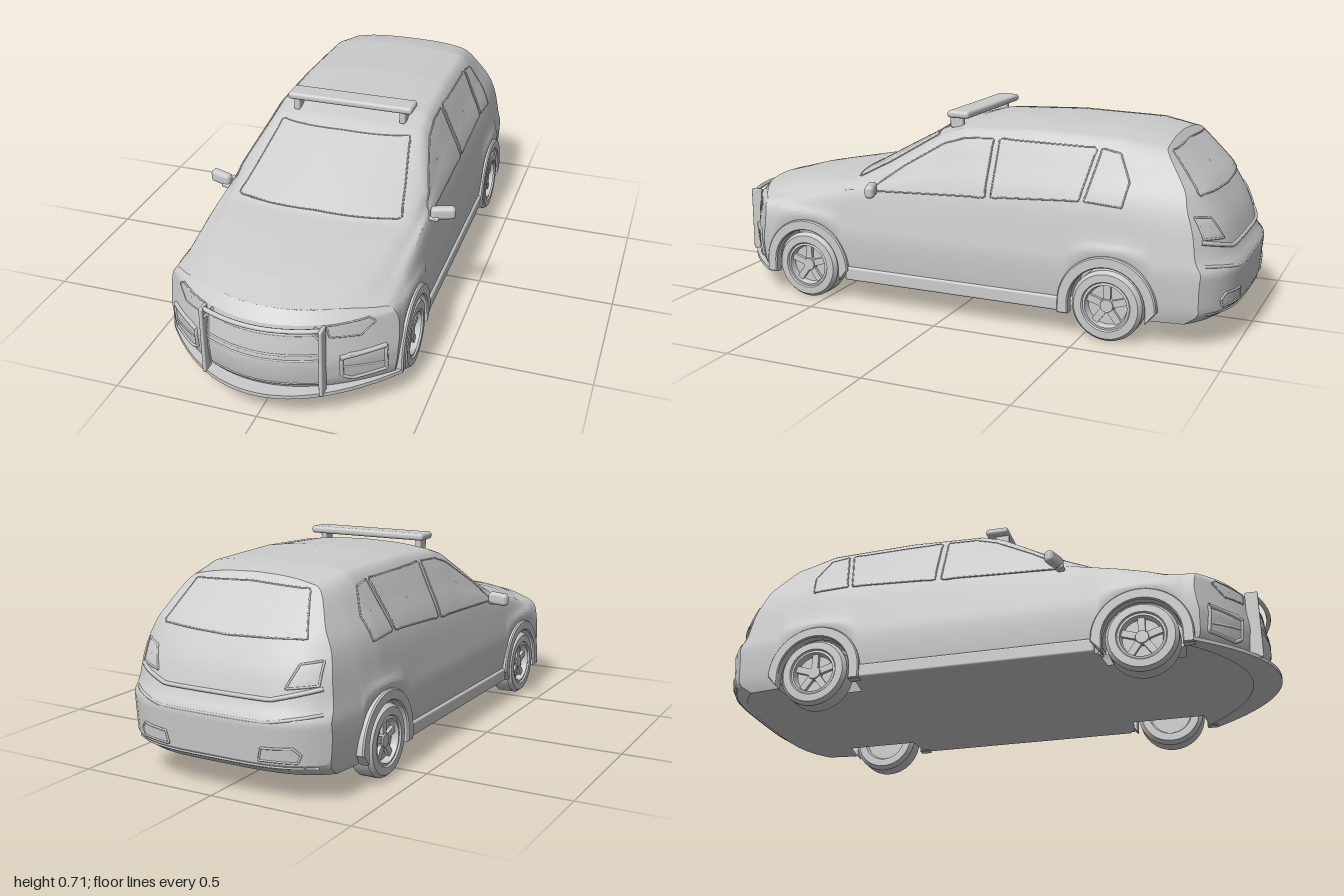
import * as THREE from 'three';
import { toCreasedNormals } from 'three/addons/utils/BufferGeometryUtils.js';
import { RoundedBoxGeometry } from 'three/addons/geometries/RoundedBoxGeometry.js';

const V = (x, y, z) => new THREE.Vector3(x, y, z);
const FLOOR = 0.085, AXLES = [0.57, -0.59], AXLE_Y = 0.123;

// Piecewise linear lookup: rows of [key, ...values], keys ascending
function look(rows, k) {
  let i = 0;
  while (i < rows.length - 2 && k > rows[i + 1][0]) i++;
  const [a, b] = [rows[i], rows[i + 1]];
  const t = THREE.MathUtils.clamp((k - a[0]) / (b[0] - a[0]), 0, 1);
  return a.map((v, n) => v + (b[n] - v) * t);
}

// Stations: z, front bow, rear bow, lower width, belt x, belt y, rail x, rail y, top y
const STATIONS = [
  [-1.0, 0, 1, 0.94, 0.345, 0.45, 0.25, 0.625, 0.663],
  [-0.8, 0, 0.5, 0.985, 0.36, 0.455, 0.262, 0.638, 0.675],
  [-0.6, 0, 0, 1, 0.37, 0.455, 0.27, 0.65, 0.683],
  [-0.285, 0, 0, 1, 0.37, 0.45, 0.275, 0.657, 0.69],
  [0, 0.1, 0, 1, 0.37, 0.445, 0.28, 0.645, 0.677],
  [0.115, 0.3, 0, 1, 0.37, 0.44, 0.285, 0.62, 0.652],
  [0.33, 0.4, 0, 1, 0.372, 0.43, 0.335, 0.5, 0.54],
  [0.49, 0.4, 0, 1, 0.375, 0.41, 0.315, 0.44, 0.452],
  [0.62, 0.5, 0, 1, 0.375, 0.39, 0.30, 0.425, 0.437],
  [0.76, 0.7, 0, 1, 0.372, 0.37, 0.29, 0.40, 0.416],
  [0.85, 0.9, 0, 1, 0.37, 0.355, 0.28, 0.388, 0.401],
  [0.97, 1, 0, 1, 0.37, 0.345, 0.27, 0.361, 0.369],
];
// Nose and tail side profiles: height, set-back
const NOSE = [[0.085, -0.03], [0.12, -0.01], [0.2, 0], [0.33, -0.02], [0.37, -0.06]];
const TAIL = [[0.085, 0.07], [0.12, 0.015], [0.265, 0.003], [0.3, 0.03], [0.4, 0.06], [0.51, 0.125], [0.665, 0.275]];

const bend = (s, x, y) => s[0] + s[1] * (look(NOSE, y)[1] - 1.3 * x * x)
  + s[2] * (look(TAIL, y)[1] + 5 * x ** 4);

function archHeight(z) {
  for (const c of AXLES) {
    const d = Math.abs(z - c);
    if (d < 0.14) return AXLE_Y + Math.sqrt(0.0196 - d * d);
  }
  return FLOOR;
}

// Half cross-section from sill to centre line, bent and lifted over the wheels
function halfSection(z) {
  const s = look(STATIONS, z), [, , , w, bx, by, rx, ry, top] = s;
  const pts = [[0.385 * w, FLOOR], [0.395 * w, 0.15], [0.4 * w, 0.24], [0.393 * w, 0.31], [bx, by],
    [(bx + rx) / 2 + 0.004, (by + ry) / 2], [rx, ry], [rx * 0.8, ry + (top - ry) * 0.55],
    [rx * 0.45, ry + (top - ry) * 0.88], [0, top]];
  return new THREE.SplineCurve(pts.map(p => new THREE.Vector2(...p))).getPoints(36).map(p => {
    const pz = bend(s, p.x, p.y), lo = archHeight(pz);
    const y = p.y < 0.34 ? lo + (p.y - FLOOR) * (0.34 - lo) / (0.34 - FLOOR) : p.y;
    return V(p.x, y, pz);
  });
}

// Surface through a grid of points, facing rows x columns
function gridGeometry(rows) {
  const n = rows[0].length, index = [];
  for (let i = 0; i < rows.length - 1; i++) for (let j = 0; j < n - 1; j++) {
    const a = i * n + j, c = a + n;
    index.push(a, c, a + 1, a + 1, c, c + 1);
  }
  const g = new THREE.BufferGeometry().setFromPoints(rows.flat());
  g.setIndex(index);
  return toCreasedNormals(g, 0.45);
}

export function createModel() {
  const car = new THREE.Group();
  car.name = 'car';
  const material = new THREE.MeshStandardMaterial({ color: 0xcccccc, side: THREE.DoubleSide });
  const add = (name, geometry, pos = [0, 0, 0], parent = car) => {
    const m = new THREE.Mesh(geometry, material);
    m.name = name;
    m.position.set(...pos);
    parent.add(m);
    return m;
  };
  const mirror = p => V(-p.x, p.y, p.z);

  // Body shell with closed nose and tail
  const halves = Array.from({ length: 131 }, (_, i) => halfSection(-1 + 1.97 * i / 130));
  const shell = halves.map(h => [...h.map(mirror), ...h.slice(0, -1).reverse()]);
  const across = Array.from({ length: 25 }, (_, i) => -1 + i / 12);
  const capPoint = (z, p, t) => V(p.x * t, p.y, bend(look(STATIONS, z), p.x * t, p.y));
  const nose = across.map(t => halves.at(-1).map(p => capPoint(0.97, p, t)));
  const tail = halves[0].map(p => across.map(t => capPoint(-1, p, t)));
  const solids = [add('bodyShell', gridGeometry(shell)), add('nose', gridGeometry(nose)),
    add('tail', gridGeometry(tail))];

  // Flat underside notched around the wheels
  const sill = halves.map(h => V(h[0].y > FLOOR + 0.01 ? 0.28 : h[0].x, FLOOR, h[0].z));
  const outline = [...sill, ...nose.map(c => c[0]).reverse().slice(1, -1),
    ...sill.map(mirror).reverse(), ...tail[0].slice(1, -1)];
  const floor = new THREE.ShapeGeometry(new THREE.Shape(outline.map(p => new THREE.Vector2(p.x, p.z))));
  add('underside', floor.rotateX(Math.PI / 2), [0, FLOOR, 0]);

  // Project a 2D point onto the body from the front, rear, left or right
  const ray = new THREE.Raycaster();
  const VIEWS = { front: V(0, 0, 1), rear: V(0, 0, -1), left: V(1, 0, 0), right: V(-1, 0, 0) };
  function project([a, b], view, lift) {
    const n = VIEWS[view], o = n.x ? V(n.x * 2, b, a) : V(a, b, n.z * 2);
    ray.set(o, n.clone().negate());
    const hit = ray.intersectObjects(solids)[0];
    return hit && hit.point.addScaledVector(n, lift);
  }
  function densify(pts, closed, steps = 8) {
    const out = [];
    for (let i = 0; i < pts.length - (closed ? 0 : 1); i++) {
      const a = pts[i], b = pts[(i + 1) % pts.length];
      for (let k = 0; k < steps; k++) out.push([0, 1].map(n => a[n] + (b[n] - a[n]) * k / steps));
    }
    if (!closed) out.push(pts.at(-1));
    return out;
  }
  // Raised strip following the body
  function trim(name, pts, view, r, closed = false, lift = 0) {
    const path = densify(pts, closed).map(p => project(p, view, lift)).filter(Boolean);
    add(name, new THREE.TubeGeometry(new THREE.CatmullRomCurve3(path, closed), path.length * 2, r, 6, closed));
  }
  // Panel lying on the body, with a rim
  function panel(name, pts, view, r = 0.003, lift = 0.003) {
    const edge = densify(pts, true), c = [0, 1].map(n => pts.reduce((s, p) => s + p[n], 0) / pts.length);
    const rows = [0.02, 0.25, 0.5, 0.75, 1].map(t => [...edge, edge[0]].map(p =>
      project([c[0] + (p[0] - c[0]) * t, c[1] + (p[1] - c[1]) * t], view, lift)));
    if (rows.flat().every(Boolean)) add(name, gridGeometry(rows));
    trim(name + 'Rim', pts, view, r, true, lift * 0.5);
  }

  // Windows
  const WINDOWS = {
    frontDoorWindow: [[0.31, 0.425], [-0.135, 0.445], [-0.135, 0.635], [-0.03, 0.63], [0.05, 0.605], [0.19, 0.52], [0.28, 0.455]],
    rearDoorWindow: [[-0.16, 0.447], [-0.475, 0.465], [-0.51, 0.632], [-0.16, 0.636]],
    quarterWindow: [[-0.495, 0.465], [-0.625, 0.457], [-0.638, 0.535], [-0.595, 0.62], [-0.53, 0.632]],
  };
  for (const side of ['left', 'right'])
    for (const [name, pts] of Object.entries(WINDOWS)) panel(name, pts, side);
  panel('windshield', [[-0.295, 0.455], [0, 0.463], [0.295, 0.455], [0.24, 0.622], [0, 0.628], [-0.24, 0.622]], 'front');
  panel('rearWindow', [[-0.27, 0.5], [0, 0.49], [0.27, 0.5], [0.215, 0.63], [0, 0.638], [-0.215, 0.63]], 'rear');

  // Tail and bumper details
  trim('tailgateLedge', [[-0.34, 0.36], [-0.2, 0.325], [0.2, 0.325], [0.34, 0.36]], 'rear', 0.008);
  trim('bumperLedge', [[-0.35, 0.285], [-0.2, 0.262], [0.2, 0.262], [0.35, 0.285]], 'rear', 0.006, false, -0.004);
  trim('lowerBumperLedge', [[-0.34, 0.12], [0.34, 0.12]], 'rear', 0.005);

  for (const s of [1, -1]) {
    const flip = pts => pts.map(([x, y]) => [x * s, y]);
    panel('tailLight', flip([[0.24, 0.36], [0.33, 0.37], [0.33, 0.44], [0.27, 0.43]]), 'rear', 0.004);
    panel('exhaustTrim', flip([[0.17, 0.14], [0.29, 0.14], [0.3, 0.165], [0.28, 0.185], [0.18, 0.18]]), 'rear', 0.004);
    panel('headlight', flip([[0.205, 0.325], [0.32, 0.333], [0.337, 0.318], [0.3, 0.28], [0.215, 0.287]]), 'front');
    // Fog lamp intake with slats
    panel('fogIntake', flip([[0.25, 0.205], [0.25, 0.14], [0.275, 0.122], [0.368, 0.13], [0.368, 0.218], [0.27, 0.218]]), 'front', 0.007);
    trim('fogSlat', flip([[0.255, 0.175], [0.36, 0.16]]), 'front', 0.005);
    trim('fogBrow', flip([[0.245, 0.21], [0.368, 0.222]]), 'front', 0.009);

    // Sill and door mirror
    add('sill', new RoundedBoxGeometry(0.035, 0.05, 0.84, 2, 0.008), [s * 0.385, 0.11, -0.01]);
    const housing = add('mirrorHousing', new RoundedBoxGeometry(0.088, 0.047, 0.035, 3, 0.015), [s * 0.415, 0.438, 0.285]);
    housing.rotation.y = s * 0.35;
    add('mirrorArm', new RoundedBoxGeometry(0.06, 0.016, 0.028, 2, 0.006), [s * 0.375, 0.42, 0.3]);

    for (const z of AXLES) {
      // Arch flare and liner
      const flare = new THREE.Shape();
      flare.moveTo(0.168, FLOOR - AXLE_Y).absarc(0, 0, 0.168, 0, Math.PI, false);
      flare.lineTo(-0.168, FLOOR - AXLE_Y).lineTo(-0.137, FLOOR - AXLE_Y);
      flare.absarc(0, 0, 0.137, Math.PI, 0, true).lineTo(0.137, FLOOR - AXLE_Y);
      const ring = new THREE.ExtrudeGeometry(flare, { depth: 0.028, bevelSize: 0.004, bevelThickness: 0.005, bevelSegments: 1, curveSegments: 20 });
      add('archFlare', toCreasedNormals(ring, 0.5).rotateY(Math.PI / 2), [s > 0 ? 0.377 : -0.405, AXLE_Y, z]);
      const liner = new THREE.CylinderGeometry(0.14, 0.14, 0.11, 24, 1, true, 0, Math.PI);
      add('archLiner', liner.rotateZ(Math.PI / 2), [s * 0.335, AXLE_Y, z]);
      add('archWall', new THREE.CircleGeometry(0.142, 24, 0, Math.PI).rotateY(Math.PI / 2), [s * 0.28, AXLE_Y, z]);

      // Wheel: tyre, dished rim, spokes and hub
      const wheel = new THREE.Group();
      wheel.name = 'wheel';
      wheel.position.set(s * 0.362, AXLE_Y, z);
      wheel.rotation.y = s > 0 ? 0 : Math.PI;
      car.add(wheel);
      const profile = [[0, -0.03], [0.075, -0.03], [0.082, -0.045], [0.11, -0.045], [0.123, -0.03], [0.123, 0.03],
        [0.112, 0.045], [0.086, 0.046], [0.082, 0.04], [0.074, 0.042], [0.068, 0.018], [0, 0.018]];
      const tyre = new THREE.LatheGeometry(profile.map(p => new THREE.Vector2(...p)), 32);
      add('tyreAndRim', toCreasedNormals(tyre, 0.5).rotateZ(-Math.PI / 2), [0, 0, 0], wheel);
      add('hub', new THREE.CylinderGeometry(0.022, 0.028, 0.018, 20).rotateZ(-Math.PI / 2), [0.025, 0, 0], wheel);
      for (let k = 0; k < 5; k++) {
        const spoke = new THREE.BoxGeometry(0.012, 0.05, 0.024).translate(0, 0.046, 0).rotateX(k * Math.PI * 0.4);
        add('spoke', spoke, [0.024, 0, 0], wheel);
      }
    }
  }

  // Grille and push bar
  panel('grille', [[-0.19, 0.115], [0.19, 0.115], [0.19, 0.31], [-0.19, 0.31]], 'front', 0.004);
  for (const y of [0.21, 0.23, 0.3]) trim('grilleBar', [[-0.19, y], [0.19, y]], 'front', 0.005);
  const bar = [];
  for (let i = -10; i <= 10; i++) bar.push(V(i * 0.0195, 0.328, 0.975 - 1.2 * (i * 0.0195) ** 2));
  add('pushBarTop', new THREE.TubeGeometry(new THREE.CatmullRomCurve3(bar), 30, 0.008, 8));
  for (const s of [1, -1]) {
    add('pushBarUpright', new RoundedBoxGeometry(0.013, 0.245, 0.045, 2, 0.005), [s * 0.2, 0.213, 0.927]);
    const brace = add('pushBarBrace', new THREE.BoxGeometry(0.035, 0.009, 0.03), [s * 0.183, 0.313, 0.925]);
    brace.rotation.z = -s * 0.8;
  }

  // Front splitter following the nose
  const splitter = new THREE.Shape();
  for (let i = -12; i <= 12; i++) {
    const x = i * 0.41 / 12;
    splitter[i === -12 ? 'moveTo' : 'lineTo'](x, 1 - 1.55 * x * x);
  }
  for (let i = 12; i >= -12; i--) splitter.lineTo(i * 0.37 / 12, 0.9 - 1.3 * (i * 0.37 / 12) ** 2);
  const plate = new THREE.ExtrudeGeometry(splitter, { depth: 0.013, bevelEnabled: false });
  add('splitter', plate.rotateX(Math.PI / 2), [0, 0.096, 0]);

  // Roof light bar
  add('lightBar', new RoundedBoxGeometry(0.47, 0.026, 0.085, 3, 0.011), [0, 0.697, 0.03]);
  for (const s of [1, -1]) add('lightBarFoot', new RoundedBoxGeometry(0.022, 0.045, 0.05, 2, 0.005), [s * 0.2, 0.668, 0.045]);
  return car;
}
